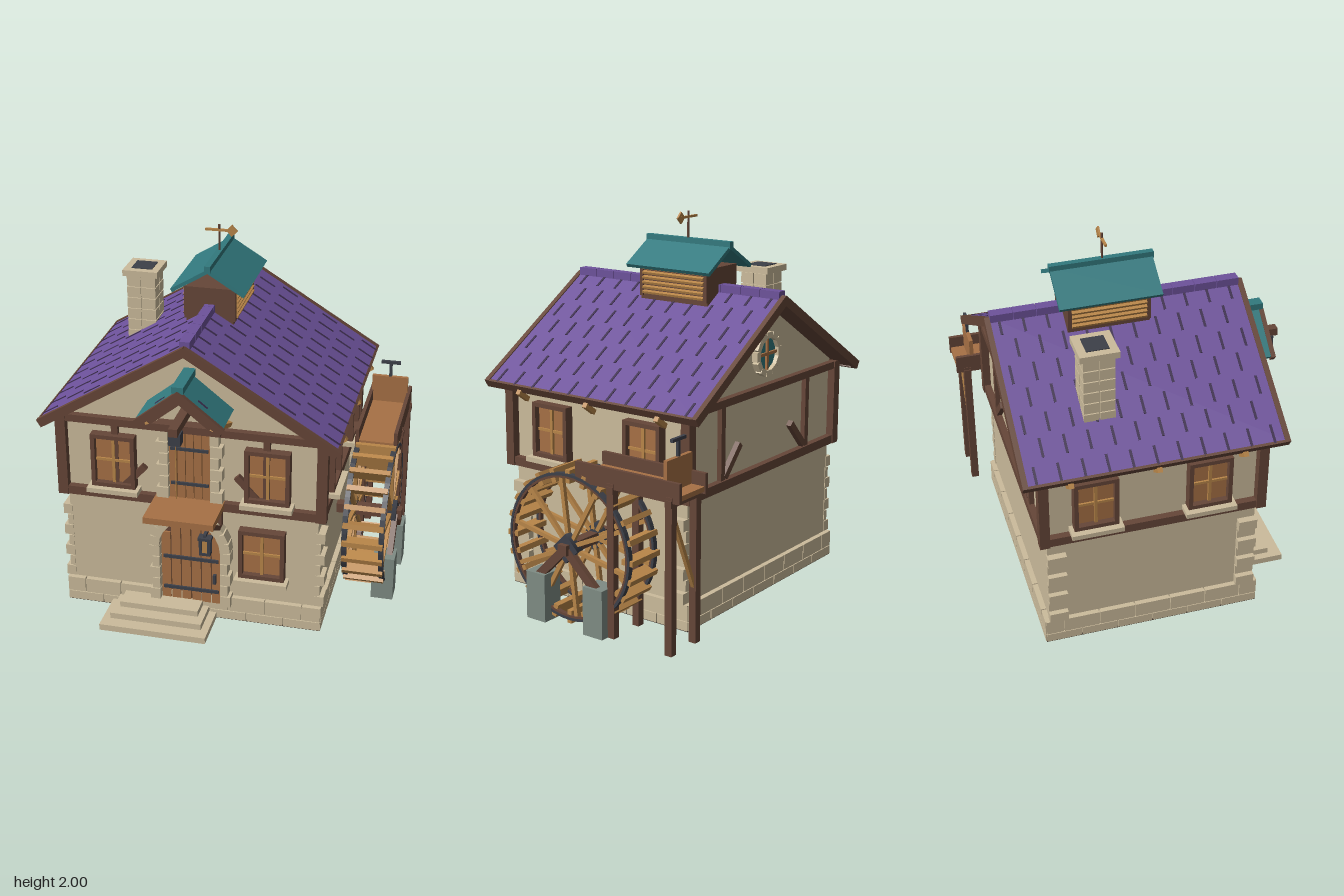
import * as THREE from 'three';

const mat = (name, color) => {
  const m = new THREE.MeshStandardMaterial({ color });
  m.name = name;
  return m;
};
const plaster = mat('plasterAndStone', 0xccbc9c), brown = mat('darkTimber', 0x664638),
  wood = mat('wood', 0xa77145), pale = mat('paleWood', 0xb98649), purple = mat('roofTiles', 0x6d529b), tileShadow = mat('tileShadow', 0x3c2d4e),
  teal = mat('tealRoof', 0x32797e), metal = mat('iron', 0x3d4049), grey = mat('pierStone', 0x7f8c84), dark = mat('darkUnderside', 0x4c4239);

const group = (parent, name, x = 0, y = 0, z = 0) => {
  const g = new THREE.Group();
  g.name = name;
  g.position.set(x, y, z);
  parent.add(g);
  return g;
};
const add = (parent, name, m, geo, x = 0, y = 0, z = 0) => {
  const o = new THREE.Mesh(geo, m);
  o.name = name;
  o.position.set(x, y, z);
  parent.add(o);
  return o;
};
// Box given by its limits on each axis
const span = (p, name, m, x0, x1, y0, y1, z0, z1) => add(p, name, m,
  new THREE.BoxGeometry(Math.abs(x1 - x0), Math.abs(y1 - y0), Math.abs(z1 - z0)), (x0 + x1) / 2, (y0 + y1) / 2, (z0 + z1) / 2);
// Square bar between two points
const bar = (p, name, m, a, b, t, u = t) => {
  const A = new THREE.Vector3(...a), B = new THREE.Vector3(...b), d = B.clone().sub(A);
  const o = add(p, name, m, new THREE.BoxGeometry(t, d.length(), u));
  o.position.copy(A.add(B).multiplyScalar(0.5));
  o.quaternion.setFromUnitVectors(new THREE.Vector3(0, 1, 0), d.normalize());
};
const extrude = (shape, depth) => new THREE.ExtrudeGeometry(shape, { depth, bevelEnabled: false, curveSegments: 24 });
const ring = (outer, inner, depth) => {
  const s = new THREE.Shape().absarc(0, 0, outer, 0, Math.PI * 2);
  s.holes.push(new THREE.Path().absarc(0, 0, inner, 0, Math.PI * 2, true));
  return extrude(s, depth);
};
const HW = 0.675, ZF = 0.475, ZB = -0.635, ZC = (ZF + ZB) / 2;
const zAt = (s, d) => (s > 0 ? ZF + d : ZB - d);

// Framed window with its back on the wall, facing +z
function windowUnit(parent, x, y, z, turn = 0, w = 0.24, h = 0.29) {
  const g = group(parent, 'window', x, y, z), a = w / 2, b = h / 2;
  g.rotation.y = turn;
  span(g, 'windowPane', wood, -a + 0.01, a - 0.01, -b + 0.01, b - 0.01, 0.012, 0.02);
  for (const s of [-1, 1]) {
    span(g, 'windowFrame', brown, s * a, s * (a - 0.022), -b, b, 0, 0.052);
    span(g, 'windowFrame', brown, -a, a, s * b, s * (b - 0.022), 0, 0.052);
  }
  span(g, 'mullion', pale, -0.008, 0.008, -b + 0.02, b - 0.02, 0.015, 0.034);
  span(g, 'glazingBar', pale, -a + 0.02, a - 0.02, -0.007, 0.007, 0.015, 0.03);
  span(g, 'windowSill', plaster, -a - 0.02, a + 0.02, -b - 0.026, -b, 0, 0.085);
}

function walls(h) {
  const s = new THREE.Shape([[-HW, 0.004], [HW, 0.004], [HW, 1.153], [0, 1.565], [-HW, 1.153]].map(p => new THREE.Vector2(...p)));
  add(h, 'walls', plaster, extrude(s, ZF - ZB), 0, 0, ZB);
  span(h, 'underside', dark, -0.70, 0.70, 0, 0.006, -0.66, 0.5);
  // Plinth of two courses
  const g = group(h, 'plinth');
  span(g, 'plinthCore', plaster, -0.692, 0.692, 0.006, 0.128, -0.657, 0.492);
  [[0.004, 0.052, 0], [0.056, 0.14, 0.5]].forEach(([y0, y1, off]) => {
    for (const sd of [-1, 1]) {
      const run = (half, put) => {
        const n = Math.round(half / 0.1), L = 2 * half / n;
        for (let i = 0; i < n + (off ? 1 : 0); i++) {
          const a = Math.max(-half, -half + (i - off) * L), b = Math.min(half, -half + (i + 1 - off) * L);
          put(a + 0.003, b - 0.003);
        }
      };
      run(0.7, (a, b) => span(g, 'plinthBlock', plaster, a, b, y0, y1, zAt(sd, 0), zAt(sd, 0.028)));
      run(0.58, (a, b) => span(g, 'plinthBlock', plaster, sd * HW, sd * 0.702, y0, y1, ZC + a, ZC + b));
    }
  });
  // Corner stones
  for (const sx of [-1, 1]) for (const sz of [-1, 1]) for (let i = 0; i < 7; i++) {
    const out = i % 2 ? 0.69 : 0.712, y = 0.142 + i * 0.064;
    span(h, 'cornerStone', plaster, sx * 0.662, sx * out, y, y + 0.058, zAt(sz, 0.004), zAt(sz, -0.095));
  }
  // Timber frame
  const t = group(h, 'timberFrame');
  for (const sz of [-1, 1]) {
    for (const [y0, y1] of [[0.67, 0.718], [1.1, 1.14]]) span(t, 'frameBeam', brown, -0.715, 0.715, y0, y1, zAt(sz, -0.005), zAt(sz, 0.036));
    for (const sx of [-1, 1]) {
      span(t, 'cornerPost', brown, sx * 0.665, sx * 0.72, 0.67, 1.14, zAt(sz, -0.01), zAt(sz, 0.042));
      span(t, 'framePost', brown, sx * 0.385, sx * 0.42, 0.7, 1.12, zAt(sz, -0.005), zAt(sz, 0.026));
      bar(t, 'frameBrace', brown, [sx * 0.38, 0.73, zAt(sz, 0.014)], [sx * 0.245, 0.875, zAt(sz, 0.014)], 0.035, 0.03);
    }
  }
  for (const sx of [-1, 1]) {
    for (const [y0, y1] of [[0.67, 0.718], [1.1, 1.14]]) span(t, 'sideBeam', brown, sx * 0.67, sx * 0.712, y0, y1, ZB, ZF);
    for (const z of [0.21, -0.385]) windowUnit(h, sx * HW, 0.897, z, sx * Math.PI / 2, 0.23);
    for (const z of [0.365, -0.08, -0.525]) bar(h, 'eaveStrut', pale, [sx * 0.785, 1.1, z], [sx * 0.715, 1.05, z], 0.026);
    windowUnit(h, sx * 0.41, 0.897, ZF, 0, 0.236, 0.3);
  }
  windowUnit(h, 0.383, 0.433, ZF, 0, 0.245, 0.285);
  // Round gable window at the back
  const r = group(h, 'roundWindow', 0, 1.3, ZB);
  r.rotation.y = Math.PI;
  add(r, 'roundGlass', teal, new THREE.CylinderGeometry(0.09, 0.09, 0.012, 24).rotateX(Math.PI / 2), 0, 0, 0.006);
  for (let i = 0; i < 12; i++) {
    const b = add(r, 'ringStone', plaster, new THREE.BoxGeometry(0.032, 0.05, 0.035), 0.1 * Math.cos(i * Math.PI / 6), 0.1 * Math.sin(i * Math.PI / 6), 0.0175);
    b.rotation.z = i * Math.PI / 6;
  }
  span(r, 'roundBar', wood, -0.088, 0.088, -0.008, 0.008, 0, 0.024);
  span(r, 'roundBar', wood, -0.008, 0.008, -0.088, 0.088, 0, 0.024);
}

function roofs(h) {
  const a = Math.atan2(0.48, 0.785), L = 0.92;
  for (const s of [-1, 1]) {
    const g = group(h, 'mainRoofSlope', 0, 1.61, 0);
    g.rotation.z = -s * a;
    span(g, 'tiles', purple, 0, s * (L - 0.012), -0.022, 0, -0.736, 0.572);
    span(g, 'roofDeck', brown, 0, s * (L - 0.01), -0.036, -0.022, -0.736, 0.572);
    span(g, 'eaveBoard', brown, s * (L - 0.012), s * (L + 0.002), -0.042, 0.003, -0.736, 0.572);
    for (const [z0, z1] of [[0.57, 0.598], [-0.762, -0.734]]) span(g, 'bargeBoard', brown, 0, s * (L + 0.002), -0.042, 0.005, z0, z1);
    for (let i = 0; i < 21; i++) for (let k = 0; k < 4; k++) {
      const d = (i % 2 ? 0.185 : 0.055) + k * 0.27;
      if (d < L - 0.05) span(g, 'tileGap', tileShadow, s * (d - 0.05), s * (d + 0.05), -0.002, 0.003, -0.697 + i * 0.0604, -0.684 + i * 0.0604);
    }
  }
  for (let i = 0; i < 11; i++) span(h, 'ridgeTile', purple, -0.027, 0.027, 1.59, 1.635, -0.735 + i * 0.119, -0.619 + i * 0.119);
  // Louvred cupola
  const c = group(h, 'cupola');
  span(c, 'cupolaBody', brown, -0.127, 0.127, 1.5, 1.725, -0.365, 0.065);
  for (const s of [-1, 1]) {
    for (let i = 0; i < 6; i++) {
      const l = span(c, 'louvre', pale, s * 0.12, s * 0.146, 1.566 + i * 0.026, 1.578 + i * 0.026, -0.345, 0.045);
      l.rotation.z = -s * 0.3;
    }
    for (const z of [-0.365, 0.045]) span(c, 'louvrePost', brown, s * 0.12, s * 0.138, 1.55, 1.725, z, z + 0.02);
    const g = group(c, 'cupolaRoof', 0, 1.842, -0.155);
    g.rotation.z = -s * Math.atan2(0.122, 0.2);
    span(g, 'cupolaRoofSlope', teal, 0, s * 0.234, -0.02, 0, -0.265, 0.265);
  }
  span(c, 'cupolaRidge', teal, -0.016, 0.016, 1.825, 1.86, -0.425, 0.115);
  // Weather vane
  add(c, 'vanePole', brown, new THREE.CylinderGeometry(0.006, 0.006, 0.16, 8), 0, 1.92, -0.15);
  span(c, 'vaneArm', pale, -0.075, 0.07, 1.963, 1.975, -0.156, -0.144);
  const v = add(c, 'vaneHead', pale, new THREE.BoxGeometry(0.045, 0.045, 0.01), 0.068, 1.969, -0.15);
  v.rotation.z = Math.PI / 4;
  // Chimney
  const k = group(h, 'chimney', -0.463, 0, -0.315);
  span(k, 'chimneyCore', plaster, -0.072, 0.072, 1.2, 1.64, -0.072, 0.072);
  for (let i = 0; i < 7; i++) for (const sx of [-1, 1]) for (const sz of [-1, 1]) {
    const y = 1.2 + i * 0.063;
    span(k, 'chimneyBlock', plaster, sx * 0.08, sx * 0.003, y, y + 0.057, sz * 0.08, sz * 0.003);
  }
  span(k, 'chimneyCap', plaster, -0.098, 0.098, 1.64, 1.674, -0.1, 0.1);
  span(k, 'flue', metal, -0.058, 0.058, 1.67, 1.678, -0.058, 0.058);
}

function entrance(h) {
  // Arched lower door
  const d = group(h, 'lowerDoor', 0, 0, ZF), R = 0.165, Y = 0.435;
  const s = new THREE.Shape().moveTo(-R, 0.09).lineTo(R, 0.09).lineTo(R, Y).absarc(0, Y, R, 0, Math.PI).lineTo(-R, 0.09);
  add(d, 'doorBacking', brown, extrude(s, 0.02));
  for (let i = 0; i < 6; i++) {
    const x = -R + 0.055 * i, m = Math.min(Math.max(Math.abs(x), Math.abs(x + 0.055)), 0.15);
    span(d, 'doorPlank', wood, x + 0.003, x + 0.052, 0.095, Y + Math.sqrt(R * R - m * m), 0.01, 0.032);
  }
  for (const y of [0.17, 0.36]) span(d, 'doorStrap', metal, -0.15, 0.15, y - 0.009, y + 0.009, 0.03, 0.042);
  span(d, 'doorHandle', metal, 0.122, 0.138, 0.225, 0.28, 0.03, 0.052);
  for (let i = 0; i < 11; i++) {
    const a = (i + 0.5) * Math.PI / 11;
    const b = add(d, 'archStone', plaster, new THREE.BoxGeometry(0.055, 0.054, 0.07), 0.192 * Math.cos(a), Y + 0.192 * Math.sin(a), 0.035);
    b.rotation.z = a;
  }
  for (const sx of [-1, 1]) for (let i = 0; i < 5; i++) {
    span(d, 'jambStone', plaster, sx * R, sx * (i % 2 ? 0.205 : 0.22), 0.1 + i * 0.067, 0.162 + i * 0.067, 0, 0.065);
  }
  // Lantern
  const l = group(h, 'lantern', 0.09, 0, 0.55);
  span(l, 'lanternArm', metal, -0.008, 0.008, 0.535, 0.55, -0.06, 0.02);
  span(l, 'lanternTop', metal, -0.036, 0.036, 0.515, 0.53, -0.025, 0.025);
  span(l, 'lanternGlass', pale, -0.022, 0.022, 0.44, 0.515, -0.017, 0.017);
  span(l, 'lanternBase', metal, -0.03, 0.03, 0.425, 0.44, -0.022, 0.022);
  for (const sx of [-1, 1]) for (const sz of [-1, 1]) span(l, 'lanternBar', metal, sx * 0.014, sx * 0.03, 0.43, 0.52, sz * 0.01, sz * 0.022);
  // Steps
  [[0.29, 0.035, 0.755], [0.25, 0.068, 0.685], [0.215, 0.1, 0.615]].forEach(([w, y, z], i) =>
    span(h, 'step', plaster, -0.155 - w, -0.155 + w, i * 0.034, y, 0.48, z));
  // Loft door
  const u = group(h, 'loftDoor', 0, 0, ZF);
  span(u, 'doorBacking', brown, -0.112, 0.112, 0.72, 1.115, 0, 0.012);
  for (let i = 0; i < 5; i++) span(u, 'doorPlank', wood, -0.109 + i * 0.044, -0.069 + i * 0.044, 0.722, 1.115, 0.005, 0.03);
  for (const y of [0.81, 1.01]) span(u, 'doorStrap', metal, -0.1, 0.1, y - 0.008, y + 0.008, 0.03, 0.04);
  for (const sx of [-1, 1]) for (let i = 0; i < 6; i++)
    span(u, 'jambStone', plaster, sx * 0.112, sx * (i % 2 ? 0.158 : 0.176), 0.722 + i * 0.066, 0.782 + i * 0.066, 0, 0.05);
  span(u, 'lintel', brown, -0.17, 0.17, 1.115, 1.155, 0, 0.065);
  // Loading platform
  span(h, 'platform', wood, -0.187, 0.182, 0.687, 0.722, 0.49, 0.748);
  for (const sx of [-1, 1]) {
    bar(h, 'platformBrace', brown, [sx * 0.155, 0.685, 0.71], [sx * 0.155, 0.57, 0.51], 0.026);
    span(h, 'platformPost', brown, sx * 0.142, sx * 0.168, 0.56, 0.69, 0.475, 0.51);
    // Hood over the loft door
    const g = group(h, 'hoodRoof', 0, 1.43, 0);
    g.rotation.z = -sx * Math.atan2(0.185, 0.232);
    span(g, 'hoodSlope', teal, 0, sx * 0.29, -0.025, 0, ZF, 0.7);
    span(g, 'hoodBarge', brown, 0, sx * 0.297, -0.036, 0.004, 0.698, 0.722);
    span(g, 'hoodGap', tileShadow, sx * 0.11, sx * 0.17, -0.002, 0.003, 0.64, 0.652);
    bar(h, 'hoodRafter', brown, [0, 1.365, 0.68], [sx * 0.16, 1.237, 0.68], 0.026);
    bar(h, 'hoodStrut', pale, [sx * 0.165, 1.24, 0.69], [sx * 0.21, 1.18, 0.5], 0.026);
  }
  span(h, 'hoodRidge', teal, -0.03, 0.03, 1.42, 1.455, ZF, 0.715);
  // Hoist
  span(h, 'hoistBeam', brown, -0.023, 0.023, 1.232, 1.275, 0.475, 0.812);
  span(h, 'pulleyBlock', metal, -0.03, 0.03, 1.17, 1.235, 0.733, 0.787);
  add(h, 'hoistRope', pale, new THREE.CylinderGeometry(0.003, 0.003, 0.31, 6), 0, 1.02, 0.765);
}

function waterWheel(root) {
  const w = group(root, 'waterWheel', 0.75, 0.415, -0.13);
  w.rotation.y = Math.PI / 2;
  for (const s of [-1, 1]) {
    const z = s * 0.1;
    add(w, 'wheelRim', brown, ring(0.374, 0.36, 0.024), 0, 0, z - 0.012);
    add(w, 'wheelTyre', metal, ring(0.386, 0.372, 0.028), 0, 0, z - 0.014);
    for (let i = 0; i < 10; i++) {
      const a = i * Math.PI / 5 + 0.436;
      bar(w, 'spoke', pale, [0.04 * Math.cos(a), 0.04 * Math.sin(a), z], [0.365 * Math.cos(a), 0.365 * Math.sin(a), z], 0.022);
    }
    add(w, 'hub', metal, new THREE.CylinderGeometry(0.078, 0.078, 0.045, 4).rotateX(Math.PI / 2), 0, 0, s * 0.112);
  }
  for (let i = 0; i < 24; i++) {
    const a = i * Math.PI / 12;
    const p = add(w, 'paddle', pale, new THREE.BoxGeometry(0.068, 0.028, 0.22), 0.37 * Math.cos(a), 0.37 * Math.sin(a), 0);
    p.rotation.z = a;
  }
  span(root, 'axle', brown, 0.54, 0.912, 0.388, 0.442, -0.157, -0.103);
  for (const z of [0.05, -0.32]) {
    span(root, 'pier', grey, 0.79, 0.91, 0, 0.255, z - 0.061, z + 0.061);
    bar(root, 'bearingStrut', brown, [0.877, 0.235, z], [0.877, 0.415, -0.13], 0.03, 0.045);
  }
}

function flume(root) {
  const f = group(root, 'flume');
  span(f, 'flumeFloor', wood, 0.645, 0.845, 0.785, 0.81, -0.805, -0.185);
  for (const x of [0.628, 0.84]) span(f, 'flumeSide', brown, x, x + 0.02, 0.772, 0.875, -0.81, -0.18);
  for (const z of [-0.4, -0.75]) {
    for (const x of [0.645, 0.845]) span(f, 'flumePost', brown, x - 0.02, x + 0.02, 0, 0.8, z - 0.02, z + 0.02);
    span(f, 'flumeCrossBeam', brown, 0.62, 0.87, 0.75, 0.785, z - 0.02, z + 0.02);
  }
  bar(f, 'flumeBrace', pale, [0.65, 0.28, -0.75], [0.84, 0.72, -0.75], 0.02);
  // Sluice gate
  span(f, 'sluiceGate', wood, 0.64, 0.845, 0.81, 0.968, -0.728, -0.706);
  span(f, 'gateRod', metal, 0.735, 0.751, 0.96, 1.05, -0.725, -0.709);
  span(f, 'gateHandle', metal, 0.688, 0.798, 1.046, 1.062, -0.726, -0.708);
}

export function createModel() {
  const root = new THREE.Group();
  root.name = 'waterMill';
  const house = group(root, 'house', -0.125, 0, 0);
  walls(house);
  roofs(house);
  entrance(house);
  waterWheel(root);
  flume(root);
  return root;
}
